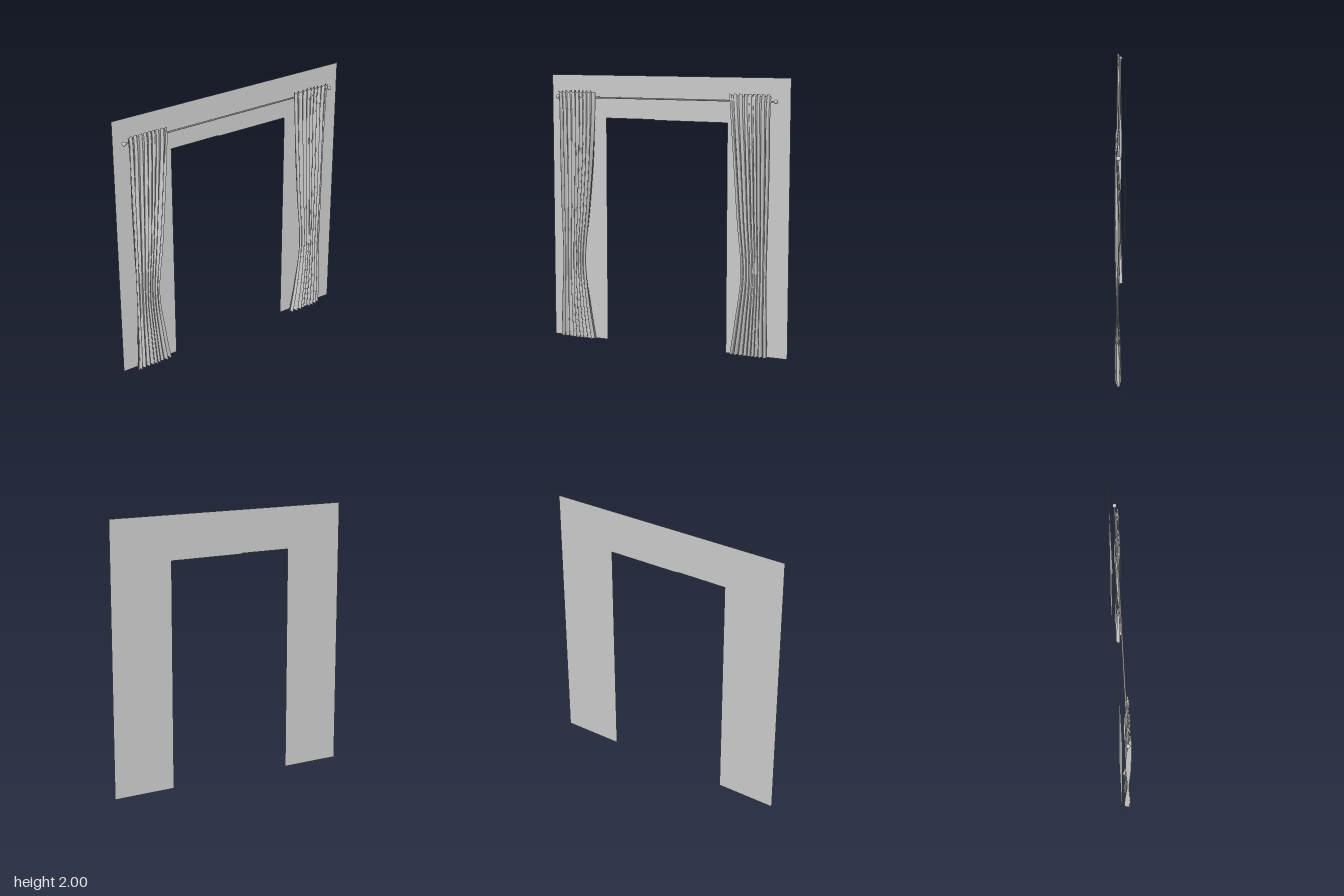
import * as THREE from 'three';

const grey = new THREE.MeshStandardMaterial({ color: 0xcccccc });
const thin = new THREE.MeshStandardMaterial({ color: 0xcccccc, side: THREE.DoubleSide });

function part(name, geometry, material, x = 0, y = 0, z = 0) {
  const mesh = new THREE.Mesh(geometry, material);
  mesh.name = name;
  mesh.position.set(x, y, z);
  return mesh;
}

// Fold depth from heading to hem: [middle z, height, depth either side]
const DEPTH = [
  [0.018, 1.88, 0.011], [0.018, 1.80, 0.011], [0.011, 1.40, 0.023], [0.011, 1.00, 0.021],
  [0.012, 0.60, 0.009], [0.012, 0.25, 0.025], [0.008, 0.005, 0.028],
];
const spline = (rows) => new THREE.CatmullRomCurve3(rows.map((r) => new THREE.Vector3(...r)));

// A pleated sheet; each edges row holds the outer and inner x at a DEPTH height
function curtain(name, edges, folds, phase) {
  const edgeCurve = spline(edges.map(([outer, inner], i) => [outer, DEPTH[i][1], inner]));
  const depthCurve = spline(DEPTH);
  const nu = 220, nv = 60;
  const g = new THREE.PlaneGeometry(1, 1, nu, nv);
  const pos = g.attributes.position;
  const edge = new THREE.Vector3(), depth = new THREE.Vector3();
  for (let j = 0; j <= nv; j++) {
    const t = j / nv;
    edgeCurve.getPoint(t, edge);
    depthCurve.getPoint(t, depth);
    const width = edge.z - edge.x;
    for (let i = 0; i <= nu; i++) {
      // plane runs in +x, so the outer edge comes first only on the -x curtain
      const u = edge.x < 0 ? i / nu : 1 - i / nu;
      // uneven pleats which drift a little on the way down
      const a = 2 * Math.PI * folds * u + phase + 0.9 * Math.sin(9 * u + phase) + 0.35 * Math.sin(5 * t + 4 * u);
      const size = 0.78 + 0.22 * Math.sin(13 * u + phase * 2);
      const wave = (Math.sin(a) + 0.18 * Math.sin(3 * a + 1)) / 1.15;
      const lean = 0.22 / folds * Math.sin(2 * a) * Math.sin(Math.PI * u);
      const heading = Math.exp(-t * 45) * 0.008 * Math.sin(a * 1.0 + 1);
      pos.setXYZ(j * (nu + 1) + i,
        edge.x + width * (u + lean),
        depth.y + heading,
        depth.x + depth.z * size * wave);
    }
  }
  g.computeVertexNormals();
  return part(name, g, thin);
}

export function createModel() {
  const model = new THREE.Group();
  model.name = 'curtainedDoorway';

  // Flat wall panel with a doorway open at the floor
  const outline = [
    [-0.945, 0], [-0.49, 0], [-0.49, 1.683], [-0.1, 1.683], [-0.1, 1.678], [0.473, 1.676],
    [0.473, 0], [0.945, 0], [0.945, 2], [-0.945, 2],
  ];
  const wall = new THREE.Shape(outline.map(([x, y]) => new THREE.Vector2(x, y)));
  model.add(part('wall', new THREE.ShapeGeometry(wall), thin, 0, 0, -0.037));

  // Rod with ball finials
  const rod = new THREE.CylinderGeometry(0.006, 0.006, 1.73, 16).rotateZ(Math.PI / 2);
  model.add(part('curtainRod', rod, grey, -0.012, 1.836, 0.002));
  for (const x of [-0.878, 0.848]) {
    model.add(part('finial', new THREE.SphereGeometry(0.015, 20, 14), grey, x, 1.836, 0.002));
  }

  // Curtains, drawn in above the floor and flaring at the hem
  model.add(curtain('rightCurtain', [
    [-0.86, -0.553], [-0.855, -0.553], [-0.85, -0.578], [-0.845, -0.612],
    [-0.84, -0.648], [-0.85, -0.61], [-0.855, -0.57],
  ], 9, 0.6));
  model.add(curtain('leftCurtain', [
    [0.822, 0.51], [0.815, 0.515], [0.81, 0.543], [0.805, 0.572],
    [0.80, 0.603], [0.806, 0.563], [0.812, 0.525],
  ], 9, 2.3));

  return model;
}
